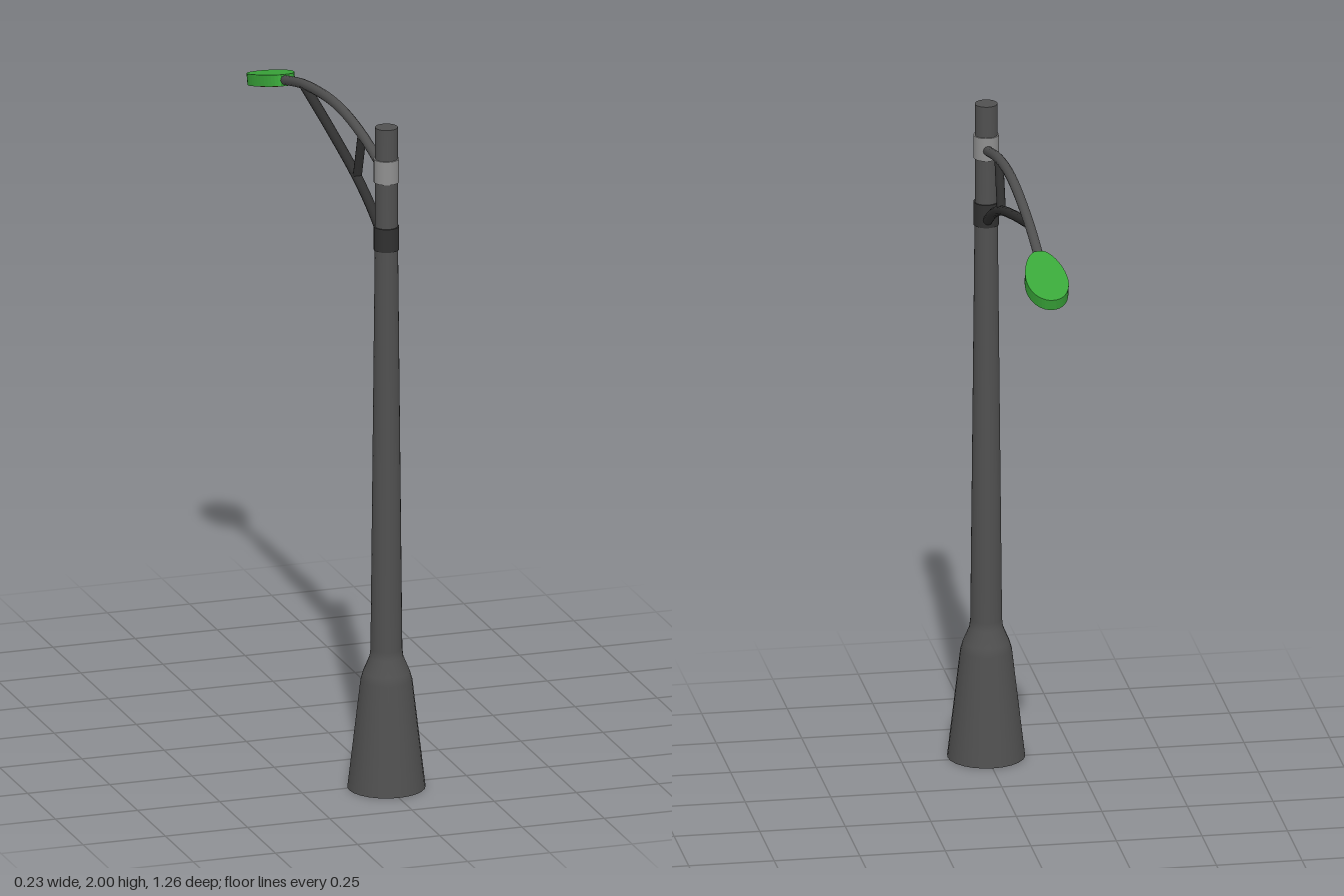
import * as THREE from 'three';

const material = (name, color) => {
  const m = new THREE.MeshStandardMaterial({ color });
  m.name = name;
  return m;
};

export function createModel() {
  const poleGrey = material('pole grey', 0x505050);
  const darkGrey = material('dark grey', 0x303030);
  const lightGrey = material('light grey', 0x8f8f8f);
  const green = material('lamp green', 0x3aa83a);
  const amber = material('lens brown', 0x8a4a1e);

  const model = new THREE.Group();
  model.name = 'streetLamp';
  const poleZ = 0.52;

  const add = (name, geometry, mat, parent = model) => {
    const mesh = new THREE.Mesh(geometry, mat);
    mesh.name = name;
    parent.add(mesh);
    return mesh;
  };

  // Tapered pole with flared foot; repeated points keep the rims sharp
  const profile = [
    [0, 0], [0.113, 0], [0.113, 0], [0.075, 0.325], [0.068, 0.35], [0.049, 0.395],
    [0.046, 0.42], [0.033, 1.7], [0.033, 2], [0.033, 2], [0, 2],
  ].map(([r, y]) => new THREE.Vector2(r, y));
  add('pole', new THREE.LatheGeometry(profile, 24), poleGrey).position.z = poleZ;

  // Clamps that hold the arm and the brace
  const clamp = (name, y, mat) =>
    add(name, new THREE.CylinderGeometry(0.037, 0.037, 0.07, 24), mat).position.set(0, y, poleZ);
  clamp('upperClamp', 1.87, lightGrey);
  clamp('lowerClamp', 1.665, darkGrey);

  // Bent tubes given as [y, z] points in the middle plane
  const bar = (name, points, radius, mat) => {
    const curve = new THREE.CatmullRomCurve3(points.map(([y, z]) => new THREE.Vector3(0, y, z)));
    add(name, new THREE.TubeGeometry(curve, 24, radius, 12), mat);
  };
  bar('arm', [[1.86, 0.51], [1.911, 0.29], [1.929, 0.075], [1.901, -0.207], [1.856, -0.4]], 0.0145, poleGrey);
  bar('brace', [[1.64, 0.51], [1.706, 0.4], [1.765, 0.26], [1.833, 0.03], [1.897, -0.22]], 0.0145, darkGrey);
  bar('strut', [[1.91, 0.302], [1.768, 0.258]], 0.013, darkGrey);

  // Egg-shaped lamp head, tilted down away from the pole
  const lamp = new THREE.Group();
  lamp.name = 'lampHead';
  lamp.position.set(0, 1.843, -0.382);
  lamp.rotation.x = -0.26;
  model.add(lamp);

  const outline = new THREE.Shape();
  outline.moveTo(-0.012, 0);
  outline.lineTo(0.012, 0);
  outline.bezierCurveTo(0.04, 0.014, 0.061, 0.09, 0.061, 0.145);
  outline.bezierCurveTo(0.061, 0.195, 0.04, 0.249, 0, 0.249);
  outline.bezierCurveTo(-0.04, 0.249, -0.061, 0.195, -0.061, 0.145);
  outline.bezierCurveTo(-0.061, 0.09, -0.04, 0.014, -0.012, 0);
  const slab = (depth) =>
    new THREE.ExtrudeGeometry(outline, { depth, bevelEnabled: false, curveSegments: 10 }).rotateX(-Math.PI / 2);
  add('lampHousing', slab(0.034), green, lamp);

  // Lens plate on the underside
  const lens = add('lens', slab(0.004), amber, lamp);
  lens.scale.set(0.82, 1, 0.82);
  lens.position.set(0, -0.002, -0.025);

  return model;
}
